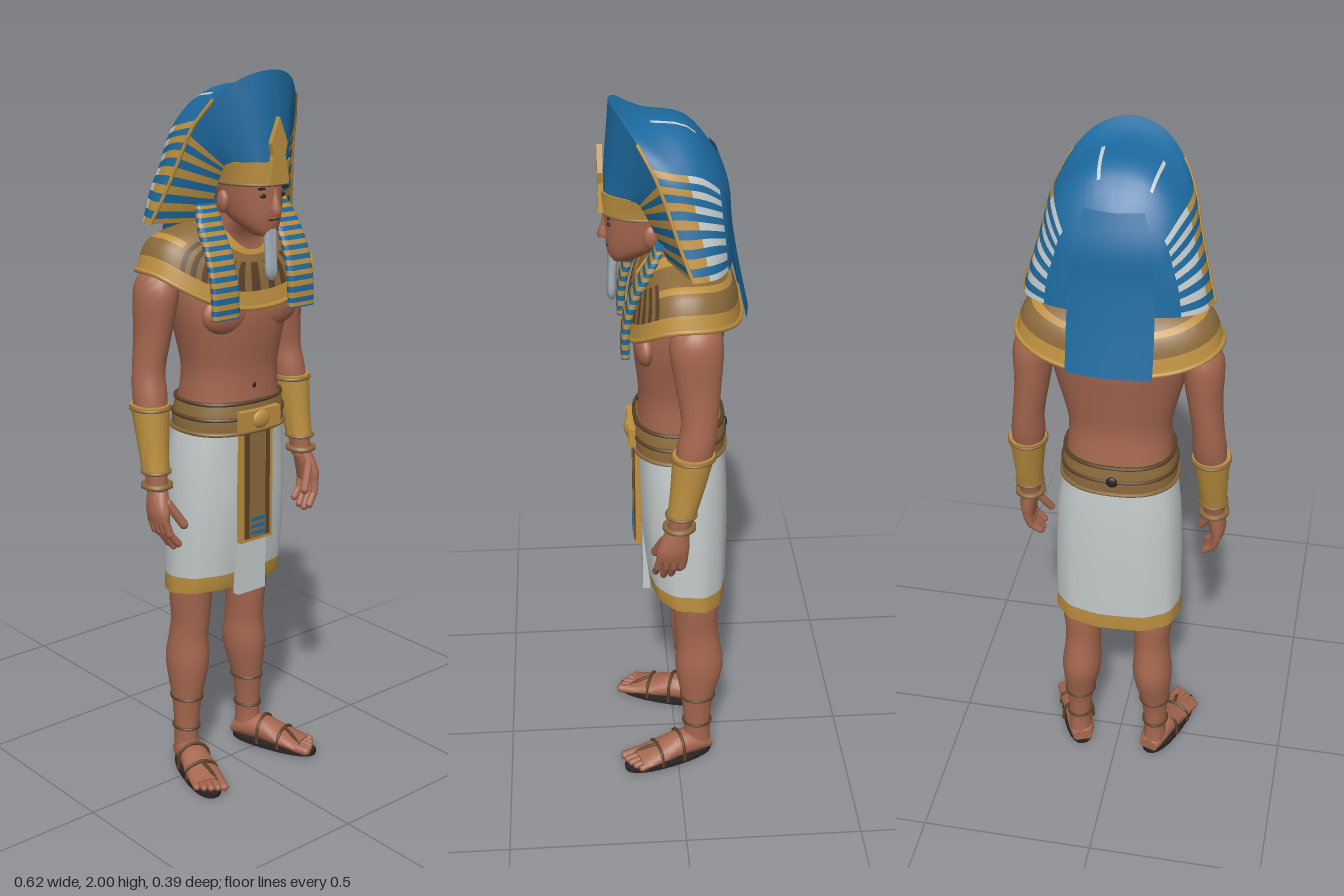
import * as THREE from 'three';
import { toCreasedNormals } from 'three/addons/utils/BufferGeometryUtils.js';

const mat = (name, color, side = THREE.FrontSide) => {
  const m = new THREE.MeshStandardMaterial({ color, side });
  m.name = name;
  return m;
};

// Catmull-Rom through rows of numbers
function spline(rows, t) {
  const n = rows.length - 1, f = Math.min(Math.max(t, 0) * n, n - 1e-7), i = Math.floor(f), w = f - i;
  const at = k => rows[Math.min(Math.max(k, 0), n)];
  const [a, b, c, d] = [at(i - 1), at(i), at(i + 1), at(i + 2)];
  return b.map((_, k) => b[k] + 0.5 * w * (c[k] - a[k] + w * (2 * a[k] - 5 * b[k] + 4 * c[k] - d[k]
    + w * (3 * (b[k] - c[k]) + d[k] - a[k]))));
}

// Surface fn(u, v) as a grid; pick(i, j) chooses the material of each cell
function grid(fn, nu, vs, pick = () => 0) {
  const pos = [], groups = [], nv = vs.length - 1;
  for (const v of vs) for (let i = 0; i <= nu; i++) pos.push(...fn(i / nu, v));
  for (let j = 0; j < nv; j++) for (let i = 0; i < nu; i++) {
    const a = j * (nu + 1) + i, d = a + nu + 1, g = pick(i, j);
    (groups[g] ||= []).push(a, a + 1, d + 1, a, d + 1, d);
  }
  const geo = new THREE.BufferGeometry(), index = [];
  geo.setAttribute('position', new THREE.Float32BufferAttribute(pos, 3));
  groups.forEach((list, g) => {
    geo.addGroup(index.length, list.length, g);
    for (const k of list) index.push(k);
  });
  geo.setIndex(index);
  return toCreasedNormals(geo, 0.9);
}
const steps = n => Array.from({ length: n + 1 }, (_, i) => i / n);
const pw = (s, p) => Math.sign(s) * Math.abs(s) ** p;

// Capped loft through rising elliptical rings [y, cx, cz, rx, rz]; slope lowers the back of the bottom edge
function loft(rings, { nu = 24, nv = rings.length * 3 - 3, p = 1, pick, fold = 0, slope = 0 } = {}) {
  const fn = (u, v) => {
    const [y, cx, cz, rx, rz] = spline(rings, v), t = (u * 2 - 1) * Math.PI;
    const k = v < 0 || v > 1 ? 0 : 1 + fold * Math.sin(11 * t) * (1 - v);
    const c = pw(Math.cos(t), p);
    return [cx + rx * k * pw(Math.sin(t), p), y + slope * k * c * Math.max(0, 1 - v), cz + rz * k * c];
  };
  return grid(fn, nu, [-1, ...steps(nv), 2], pick && ((i, j) => pick((j - 0.5) / nv, j)));
}

export function createModel() {
  const D = THREE.DoubleSide;
  const skin = mat('skin', 0xa5674f), gold = mat('gold', 0xbd9040, D), blue = mat('blue', 0x1d6a9f, D);
  const linen = mat('linen', 0xc4cacb, D), bronze = mat('bronze', 0x8c6a3c, D), leather = mat('leather', 0x5c4128);
  const dark = mat('dark', 0x2b2324), silver = mat('silver', 0xa5b0ba);

  const root = new THREE.Group();
  const add = (name, geo, m, parent = root) => {
    const o = new THREE.Mesh(geo, m);
    o.name = name;
    parent.add(o);
    return o;
  };
  const box = (name, m, [w, h, d], [x, y, z]) =>
    add(name, new THREE.BoxGeometry(w, h, d), m).position.set(x, y, z);
  const ball = (name, m, r, at) => {
    const o = add(name, new THREE.SphereGeometry(1, 16, 12), m);
    o.scale.set(...r);
    o.position.set(...at);
  };
  const tube = (name, m, pts, r, closed = false, parent = root) => add(name, new THREE.TubeGeometry(
    new THREE.CatmullRomCurve3(pts.map(q => new THREE.Vector3(...q)), closed), closed ? 48 : 24, r, 6, closed), m, parent);
  const hoop = (name, m, y, cx, cz, rx, rz, r, p = 1) => tube(name, m, steps(23).map(k => {
    const t = k * Math.PI * 2 * 23 / 24;
    return [cx + rx * pw(Math.sin(t), p), y, cz + rz * pw(Math.cos(t), p)];
  }), r, true);
  const bone = (name, m, a, b, r, parent = root) => {
    const A = new THREE.Vector3(...a), B = new THREE.Vector3(...b), dir = B.clone().sub(A);
    const o = add(name, new THREE.CapsuleGeometry(r, dir.length(), 4, 8), m, parent);
    o.position.copy(A).lerp(B, 0.5);
    o.quaternion.setFromUnitVectors(new THREE.Vector3(0, 1, 0), dir.normalize());
  };

  // Torso and neck
  add('torso', loft([[1.0, 0, -.01, .143, .112], [1.1, 0, -.01, .146, .114], [1.2, 0, -.005, .14, .104],
    [1.28, 0, -.005, .155, .112], [1.36, 0, -.008, .175, .12], [1.44, 0, -.02, .188, .118], [1.5, 0, -.03, .175, .09],
    [1.56, 0, -.015, .085, .065], [1.62, 0, .02, .058, .06], [1.67, 0, .04, .055, .055]], { nu: 32, p: .85 }), skin);
  ball('navel', dark, [.006, .009, .004], [0, 1.165, .1]);

  // Head and face
  add('head', loft([[1.578, 0, .135, .026, .032], [1.6, 0, .118, .048, .056], [1.63, 0, .09, .065, .088],
    [1.68, 0, .075, .075, .106], [1.73, 0, .07, .08, .11], [1.78, 0, .065, .075, .105]]), skin);
  add('nose', loft([[1.64, 0, .178, .014, .02], [1.652, 0, .176, .015, .022], [1.675, 0, .174, .009, .016],
    [1.705, 0, .17, .008, .012]], { nu: 12 }), skin);
  box('mouth', dark, [.036, .004, .006], [0, 1.622, .174]);
  add('beard', loft([[1.463, 0, .165, .006, .007], [1.485, 0, .165, .018, .013], [1.54, 0, .163, .018, .013],
    [1.598, 0, .158, .02, .016]], { nu: 12 }), silver);

  // Broad collar: outer, middle and inner rings, lower at front and back, petals in front
  const collar = (u, v) => {
    const t = (u * 2 - 1) * Math.PI, s = pw(Math.sin(t), .85), c = pw(Math.cos(t), .85), q = Math.sin(t) ** 2;
    const low = c > 0 ? [1.385, 1.48, 1.535] : [1.45, 1.54, 1.6];
    const ring = (x, y, side, cz, rz) => [x * s, y + (side - y) * q, cz + rz * c];
    return spline([ring(.27, low[0], 1.49, -.02, .152), ring(.228, low[1], 1.575, -.015, .132),
      ring(.085, low[2], 1.615, .01, .088)], v);
  };
  const collarColour = (i, j) => {
    if (j < 3 || j > 9) return 0;
    if (j < 8 && Math.abs(i - 39.5) < 14) return i % 2 ? 2 : 1;
    return j === 6 ? 0 : 1;
  };
  add('collar', grid(collar, 80, steps(12), collarColour), [gold, bronze, leather]);
  tube('collarTrim', gold, steps(31).map(k => collar(k * 31 / 32, 0)), .007, true);

  // Headdress: front flare, rear shell and back panel
  const mirror = h => [...h.slice(1).reverse().map(([x, y, z]) => [-x, y, z]), ...h];
  const brow = [[0, 1.765, .185], [.05, 1.767, .17], [.088, 1.768, .125], [.1, 1.765, .1], [.1, 1.735, .08], [.1, 1.67, .05], [.1, 1.61, .025]];
  const rim = [[0, 2, .164], [.08, 1.982, .142], [.14, 1.93, .1], [.175, 1.86, .06], [.195, 1.78, .03], [.22, 1.69, 0], [.245, 1.61, -.03]];
  const shell = [rim,
    [[0, 1.968, .1], [.08, 1.955, .08], [.14, 1.91, .04], [.18, 1.85, .01], [.198, 1.78, -.01], [.222, 1.69, -.03], [.243, 1.61, -.05]],
    [[0, 1.95, -.02], [.07, 1.935, -.03], [.125, 1.89, -.045], [.16, 1.83, -.06], [.18, 1.76, -.07], [.203, 1.69, -.085], [.22, 1.61, -.095]],
    [[0, 1.86, -.105], [.05, 1.85, -.105], [.09, 1.82, -.11], [.12, 1.78, -.115], [.135, 1.73, -.12], [.15, 1.67, -.125], [.155, 1.61, -.13]],
    [[0, 1.8, -.128], [.03, 1.79, -.128], [.05, 1.76, -.13], [.06, 1.73, -.133], [.065, 1.69, -.136], [.07, 1.65, -.14], [.07, 1.61, -.145]]];
  const drape = (curves, nu, pick) => {
    const full = curves.map(mirror);
    return grid((u, v) => spline(full.map(c => spline(c, v)), u), nu, steps(96), pick);
  };
  const striped = (j, top) => { const k = Math.min(j, 95 - j); return k < top && k % 4 < 2; };
  add('headdressFront', drape([brow, rim], 6, (i, j) => striped(j, 22) ? 1 : 0), [blue, gold]);
  add('headdressShell', drape(shell, 16, (i, j) => {
    if (i < 11 && striped(j, 26)) return i < 6 ? 1 : 2;
    return i > 4 && i < 9 && (j === 37 || j === 53) ? 2 : 0;
  }), [blue, gold, linen]);
  const panel = [[1.45, -.192, .112], [1.56, -.168, .112], [1.68, -.147, .108], [1.78, -.137, .1], [1.87, -.106, .075]];
  add('backPanel', grid((u, v) => {
    const [y, z, w] = spline(panel, v), x = 1 - 2 * u;
    return [x * w, y, z + .014 * x * x];
  }, 10, steps(16)), blue);

  // Headband with raised ornament
  add('headband', loft([[1.712, 0, .075, .09, .115], [1.735, 0, .073, .094, .118], [1.772, 0, .07, .104, .12]]), gold);
  hoop('headbandTrim', bronze, 1.714, 0, .075, .09, .115, .004);
  const crest = new THREE.Shape([[-.034, 1.715], [.034, 1.715], [.02, 1.79], [.027, 1.82], [0, 1.885], [-.027, 1.82], [-.02, 1.79]]
    .map(q => new THREE.Vector2(...q)));
  add('browOrnament', new THREE.ExtrudeGeometry(crest, { depth: .014, bevelEnabled: false }), gold).position.z = .181;

  // Kilt, belt and hanging apron
  add('kilt', loft([[.562, 0, -.035, .18, .106], [.612, 0, -.032, .18, .112], [.8, 0, -.024, .178, .122],
    [.95, 0, -.02, .17, .122], [1.06, 0, -.014, .153, .12]],
  { nu: 44, p: .8, fold: .014, slope: .016, pick: v => v < .25 ? 1 : 0 }), [linen, gold]);
  add('belt', loft([[1.035, 0, -.01, .16, .128], [1.08, 0, -.01, .158, .128], [1.125, 0, -.01, .149, .12]], { nu: 32, p: .85 }), bronze);
  hoop('beltTrim', leather, 1.122, 0, -.01, .15, .121, .006, .85);
  hoop('beltStripe', leather, 1.08, 0, -.01, .157, .126, .006, .85);
  hoop('beltTrim', bronze, 1.04, 0, -.01, .161, .129, .006, .85);
  box('buckle', gold, [.14, .055, .02], [0, 1.075, .12]);
  ball('buckleBoss', gold, [.03, .026, .012], [0, 1.075, .128]);
  ball('backStud', dark, [.016, .016, .008], [0, 1.08, -.138]);
  box('underPanel', linen, [.1, .19, .02], [0, .655, .084]);
  box('apron', gold, [.115, .33, .016], [0, .885, .105]);
  box('apronInset', leather, [.09, .31, .006], [0, .885, .113]);
  box('apronStripe', bronze, [.056, .31, .006], [0, .885, .115]);
  for (const y of [.745, .765, .785]) box('apronInlay', blue, [.05, .01, .006], [0, y, .117]);

  for (const s of [1, -1]) {
    const side = rows => rows.map(([y, x, ...r]) => [y, s * x, ...r]);

    // Eyes, ears and chest
    ball('eye', dark, [.013, .006, .005], [s * .03, 1.685, .169]);
    box('eyebrow', dark, [.034, .006, .006], [s * .031, 1.704, .17]);
    ball('ear', skin, [.014, .03, .02], [s * .08, 1.665, .065]);
    ball('chestMuscle', skin, [.086, .056, .03], [s * .08, 1.37, .084]);

    // Striped lappet on the chest
    add('lappet', loft(side([[1.37, .132, .138, .043, .011], [1.45, .132, .134, .043, .011], [1.53, .132, .112, .042, .011],
      [1.6, .13, .075, .04, .011], [1.66, .122, .045, .03, .01]]),
    { nu: 20, nv: 48, p: .4, pick: (v, j) => j % 4 > 1 ? 1 : 0 }), [blue, gold]);
    tube('wingTrim', gold, rim.slice(2).map(([x, y, z]) => [s * x, y, z]), .005);

    // Arm with bracer and wrist band
    add('arm', loft(side([[.89, .264, .008, .027, .03], [.94, .262, 0, .03, .032], [1.05, .258, -.02, .038, .042],
      [1.15, .25, -.038, .046, .05], [1.22, .245, -.048, .043, .048], [1.32, .232, -.045, .047, .059],
      [1.42, .224, -.04, .056, .07], [1.47, .214, -.04, .051, .06], [1.51, .195, -.035, .028, .035]])), skin);
    add('bracer', loft(side([[.945, .262, 0, .036, .038], [1.02, .259, -.015, .041, .045], [1.13, .254, -.033, .052, .056]])), gold);
    hoop('bracerTrim', bronze, 1.12, s * .254, -.032, .051, .055, .005);
    hoop('bracerTrim', bronze, .95, s * .262, 0, .037, .039, .005);
    hoop('wristBand', bronze, .912, s * .263, .005, .035, .037, .009);

    // Hand
    add('palm', loft(side([[.815, .274, .025, .018, .042], [.85, .274, .022, .024, .043], [.9, .265, .01, .026, .031]])), skin);
    for (let f = 0; f < 4; f++) {
      const z = .056 - f * .021, len = [.012, 0, .004, .02][f];
      bone('finger', skin, [s * .275, .82, z], [s * .266, .785, z + .006], .0115);
      bone('fingertip', skin, [s * .266, .785, z + .006], [s * .242, .743 + len, z + .012], .0105);
    }
    bone('thumb', skin, [s * .258, .868, .045], [s * .222, .805, .068], .0125);

    // Leg with ankle straps
    add('leg', loft(side([[.04, .117, -.06, .035, .042], [.1, .118, -.06, .033, .038], [.2, .116, -.06, .04, .046],
      [.32, .108, -.066, .058, .07], [.4, .105, -.063, .053, .063], [.46, .103, -.056, .052, .062],
      [.55, .103, -.052, .06, .066], [.65, .095, -.035, .06, .062]])), skin);
    hoop('ankleStrap', leather, .12, s * .118, -.06, .035, .04, .005);
    hoop('ankleStrap', leather, .215, s * .115, -.061, .042, .048, .005);

    // Foot in a sandal, toes turned out
    const foot = new THREE.Group();
    foot.name = 'foot';
    foot.position.set(s * .117, 0, -.06);
    foot.rotation.y = s * .34;
    root.add(foot);
    add('sole', loft([[0, 0, .094, .046, .139], [.014, 0, .094, .046, .139]], { p: .85 }), dark, foot);
    add('instep', loft([[-.04, 0, -.03, .03, .022], [0, 0, -.042, .039, .034], [.06, 0, -.045, .042, .037],
      [.12, 0, -.035, .048, .026], [.19, 0, -.025, .05, .015]]), skin, foot).rotation.x = Math.PI / 2;
    for (let k = 0; k < 5; k++) {
      const x = -s * (.035 - k * .0185), z = .22 - k * k * .0016;
      bone('toe', skin, [x, .026, .18], [x, .023, z], k ? .0105 : .0135, foot);
    }
    for (const [z, h] of [[.13, .064], [.06, .086]])
      tube('footStrap', leather, [[-.048, .012, z], [-.04, h * .75, z], [0, h, z], [.04, h * .75, z], [.048, .012, z]], .005, false, foot);
    tube('toeStrap', leather, [[0, .064, .13], [-s * .014, .05, .165], [-s * .026, .025, .2]], .005, false, foot);
  }
  return root;
}
